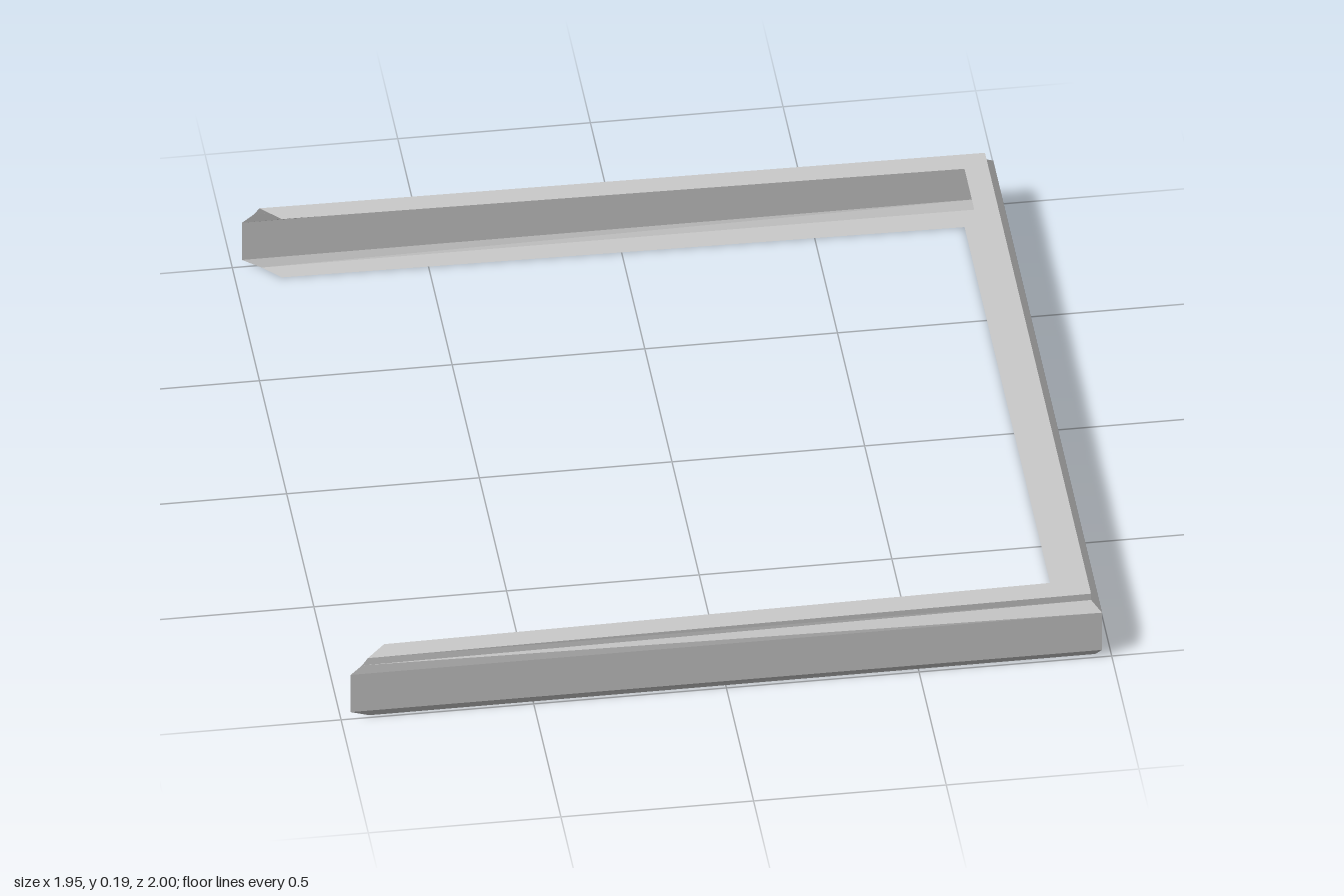
import * as THREE from 'three';

// Channel profile from the top flange's inner edge, round the outer wall, to the bottom flange.
// Each row: height, inset at the mitred corners, x at the open tip, inset at the open tip.
const PROFILE = [
  [0.185, 0.087, -0.88, 0.06],
  [0.185, 0.025, -0.93, 0.005],
  [0.165, 0.025, -0.945, 0.003],
  [0.14, 0, -0.975, 0],
  [0.022, 0, -0.975, 0],
  [0, 0.015, -0.925, 0.01],
  [0, 0.087, -0.88, 0.06],
];
const HALF_X = 0.975;
const HALF_Z = 1;

// Profile placed at a tip or a corner, on the front (side 1) or back (side -1)
const tip = (side) => PROFILE.map(([y, , x, inset]) => [x, y, side * (HALF_Z - inset)]);
const corner = (side) => PROFILE.map(([y, inset]) => [HALF_X - inset, y, side * (HALF_Z - inset)]);

// Sheet stretched between two placed profiles
function rail(name, a, b, material) {
  const positions = [];
  for (let i = 0; i < a.length - 1; i++) {
    for (const p of [a[i], a[i + 1], b[i + 1], a[i], b[i + 1], b[i]]) positions.push(...p);
  }
  const geometry = new THREE.BufferGeometry();
  geometry.setAttribute('position', new THREE.Float32BufferAttribute(positions, 3));
  geometry.computeVertexNormals();
  const mesh = new THREE.Mesh(geometry, material);
  mesh.name = name;
  return mesh;
}

export function createModel() {
  const group = new THREE.Group();
  group.name = 'channelFrame';
  const material = new THREE.MeshStandardMaterial({
    color: 0xcccccc,
    flatShading: true,
    side: THREE.DoubleSide,
  });

  // Two arms joined by a cross rail at mitred corners
  group.add(
    rail('frontArm', tip(1), corner(1), material),
    rail('crossRail', corner(1), corner(-1), material),
    rail('backArm', corner(-1), tip(-1), material),
  );
  return group;
}
